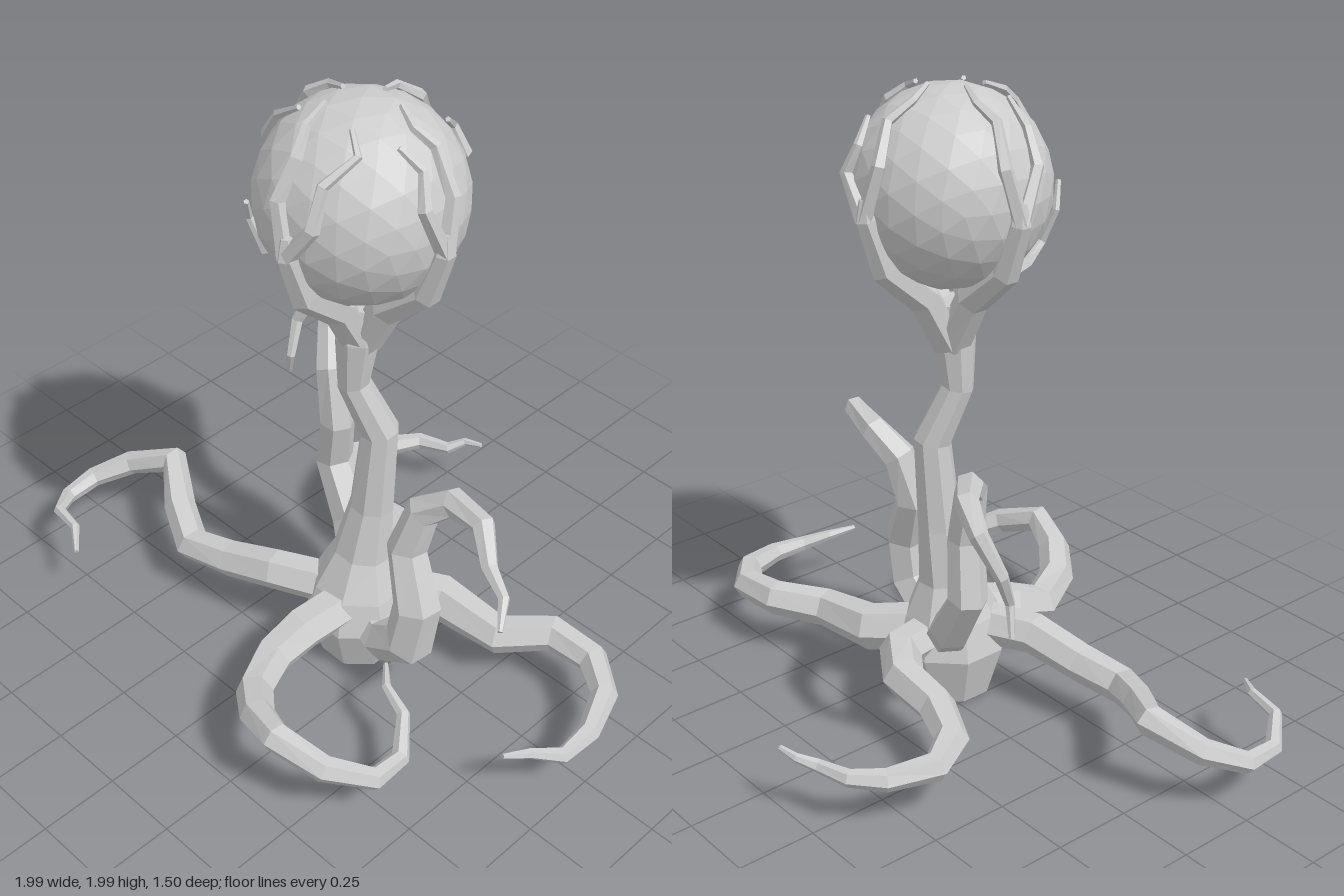
import * as THREE from 'three';

const V = (p) => new THREE.Vector3(...p);
const material = new THREE.MeshStandardMaterial({ color: 0xcccccc, flatShading: true });
const bulb = { x: 0.1, y: 1.68, z: 0.05, r: 0.3 };

// Faceted limb: rings of given radius along a polyline; each node is [x, y, z, radius]
function limb(name, nodes, sides = 6) {
  const pts = nodes.map((n) => V(n.slice(0, 3)));
  const pos = [], index = [];
  const normal = new THREE.Vector3();
  pts.forEach((p, i) => {
    const t = new THREE.Vector3();
    if (i > 0) t.add(p.clone().sub(pts[i - 1]).normalize());
    if (i < pts.length - 1) t.add(pts[i + 1].clone().sub(p).normalize());
    t.normalize();
    if (i === 0) normal.set(Math.abs(t.y) > 0.8 ? 1 : 0, Math.abs(t.y) > 0.8 ? 0 : 1, 0);
    normal.addScaledVector(t, -normal.dot(t)).normalize();
    const binormal = t.clone().cross(normal);
    for (let j = 0; j < sides; j++) {
      const a = ((j + 0.5) / sides) * Math.PI * 2;
      const v = p.clone()
        .addScaledVector(normal, Math.cos(a) * nodes[i][3])
        .addScaledVector(binormal, Math.sin(a) * nodes[i][3]);
      pos.push(v.x, v.y, v.z);
    }
  });
  const last = (pts.length - 1) * sides;
  for (let j = 0; j < sides; j++) {
    const k = (j + 1) % sides;
    for (let o = 0; o < last; o += sides) {
      index.push(o + j, o + k, o + sides + k, o + j, o + sides + k, o + sides + j);
    }
    // end caps
    if (j > 0 && j < sides - 1) index.push(0, k, j, last, last + j, last + k);
  }
  const geo = new THREE.BufferGeometry();
  geo.setAttribute('position', new THREE.Float32BufferAttribute(pos, 3));
  geo.setIndex(index);
  geo.computeVertexNormals();
  const mesh = new THREE.Mesh(geo, material);
  mesh.name = name;
  return mesh;
}

// Point just above the bulb, from azimuth (from +x towards +z) and elevation in degrees
function onBulb(az, el, lift = 0.012) {
  const a = az * Math.PI / 180, e = el * Math.PI / 180, r = bulb.r + lift;
  return [bulb.x + r * Math.cos(e) * Math.cos(a), bulb.y + r * Math.sin(e), bulb.z + r * Math.cos(e) * Math.sin(a)];
}

// Tapering twig that creeps over the bulb
function twig(path, r0 = 0.027, r1 = 0.008) {
  return limb('twig', path.map(([az, el], i) => [
    ...onBulb(az, el), r0 + (r1 - r0) * i / (path.length - 1)]), 5);
}

const tentacles = {
  leftSweepingTentacle: [
    [0.08, 0.24, 0.1, 0.07], [-0.13, 0.24, 0.2, 0.065], [-0.3, 0.2, 0.24, 0.06], [-0.46, 0.18, 0.27, 0.057],
    [-0.6, 0.22, 0.2, 0.052], [-0.74, 0.27, 0.1, 0.047], [-0.89, 0.21, 0.17, 0.04], [-0.965, 0.165, 0.28, 0.033],
    [-0.955, 0.16, 0.4, 0.027], [-0.88, 0.2, 0.49, 0.02], [-0.77, 0.21, 0.51, 0.015], [-0.69, 0.19, 0.57, 0.008]],
  frontCurledTentacle: [
    [0.14, 0.25, 0.12, 0.07], [0.1, 0.21, 0.3, 0.07], [0.09, 0.17, 0.42, 0.063], [0.17, 0.19, 0.57, 0.058],
    [0.27, 0.23, 0.65, 0.053], [0.4, 0.27, 0.695, 0.046], [0.55, 0.22, 0.65, 0.041], [0.645, 0.165, 0.54, 0.035],
    [0.635, 0.15, 0.42, 0.028], [0.55, 0.19, 0.32, 0.021], [0.45, 0.21, 0.29, 0.015], [0.38, 0.2, 0.22, 0.008]],
  rightSweepingTentacle: [
    [0.12, 0.22, 0.02, 0.08], [0.3, 0.19, -0.12, 0.075], [0.52, 0.17, -0.14, 0.062], [0.65, 0.19, -0.25, 0.056],
    [0.8, 0.18, -0.26, 0.05], [0.91, 0.17, -0.18, 0.042], [0.965, 0.155, -0.04, 0.033],
    [0.965, 0.15, 0.08, 0.025], [0.91, 0.18, 0.16, 0.017], [0.87, 0.2, 0.24, 0.008]],
  rightRaisedTentacle: [
    [0.12, 0.17, 0.06, 0.07], [0.28, 0.17, 0.12, 0.075], [0.39, 0.25, 0.13, 0.08], [0.41, 0.4, 0.12, 0.075],
    [0.335, 0.57, 0.09, 0.063], [0.37, 0.72, 0.06, 0.055], [0.46, 0.79, 0.03, 0.046], [0.6, 0.81, 0.06, 0.036],
    [0.68, 0.74, 0.12, 0.026], [0.77, 0.71, 0.16, 0.018], [0.82, 0.665, 0.23, 0.008]],
  leftRaisedTentacle: [
    [0.09, 0.2, 0.02, 0.07], [-0.06, 0.33, -0.08, 0.068], [-0.175, 0.5, -0.11, 0.062], [-0.14, 0.68, -0.09, 0.056],
    [-0.175, 0.86, -0.1, 0.05], [-0.25, 0.92, -0.17, 0.043], [-0.37, 0.95, -0.28, 0.036],
    [-0.47, 0.9, -0.32, 0.028], [-0.52, 0.78, -0.28, 0.021], [-0.5, 0.67, -0.23, 0.015], [-0.53, 0.58, -0.25, 0.008]],
  backTentacle: [
    [0.11, 0.22, 0, 0.07], [0.08, 0.22, -0.17, 0.07], [-0.03, 0.21, -0.245, 0.066], [-0.2, 0.19, -0.25, 0.06],
    [-0.34, 0.175, -0.31, 0.053], [-0.415, 0.17, -0.43, 0.044], [-0.365, 0.16, -0.57, 0.035],
    [-0.3, 0.17, -0.655, 0.027], [-0.2, 0.175, -0.69, 0.02], [-0.16, 0.2, -0.735, 0.014], [-0.1, 0.21, -0.75, 0.008]],
};

// Claws: azimuth around the bulb and the twigs they fork into, as [azimuth, elevation]
const claws = {
  leftClaw: [180, [
    [[180, -8], [188, 22], [182, 48], [190, 62], [180, 77]],
    [[180, -8], [164, 20], [156, 40], [138, 58]],
    [[178, -50], [148, -42], [131, -32], [134, -12], [126, 2]]]],
  rightClaw: [0, [
    [[0, -8], [-8, 20], [-14, 45], [-8, 58], [-27, 70]],
    [[0, -8], [12, 20], [6, 38], [16, 52]]]],
  frontClaw: [85, [
    [[85, -8], [93, 20], [92, 42], [105, 58], [122, 72]],
    [[85, -8], [70, 12], [68, 34], [48, 50], [56, 64]]]],
  backClaw: [-90, [
    [[-90, -8], [-98, 22], [-88, 46], [-96, 62], [-76, 77]],
    [[-90, -8], [-68, 12], [-72, 28], [-56, 42]]]],
};

export function createModel() {
  const model = new THREE.Group();
  model.name = 'tentacledBulbPlant';

  // Trunk, swollen where the tentacles join
  model.add(limb('stalk', [
    [0.105, 0, 0.06, 0.125], [0.11, 0.17, 0.06, 0.18], [0.11, 0.28, 0.06, 0.15], [0.115, 0.4, 0.05, 0.095],
    [0.13, 0.58, 0.03, 0.07], [0.145, 0.87, 0.015, 0.06], [0.09, 1.05, 0.07, 0.05],
    [0.1, 1.22, 0.065, 0.068], [0.1, 1.33, 0.055, 0.06]], 8));

  // Bulb
  const ball = new THREE.Mesh(new THREE.IcosahedronGeometry(bulb.r, 3), material);
  ball.name = 'bulb';
  ball.position.set(bulb.x, bulb.y, bulb.z);
  model.add(ball);

  // Tentacles
  for (const [name, nodes] of Object.entries(tentacles)) model.add(limb(name, nodes));

  // Claws gripping the bulb
  for (const [name, [az, twigs]] of Object.entries(claws)) {
    const group = new THREE.Group();
    group.name = name;
    const a = az * Math.PI / 180;
    const profile = [[0.01, 1.2, 0.055], [0.1, 1.36, 0.052], [0.245, 1.48, 0.043], [0.305, 1.64, 0.033], [0.306, 1.7, 0.018]];
    group.add(limb('clawStem', profile.map(([out, y, r]) => [
      bulb.x + out * Math.cos(a), y, bulb.z + out * Math.sin(a), r])));
    twigs.forEach((path, i) => group.add(twig(path, i === 2 ? 0.02 : 0.027)));
    model.add(group);
  }
  return model;
}
